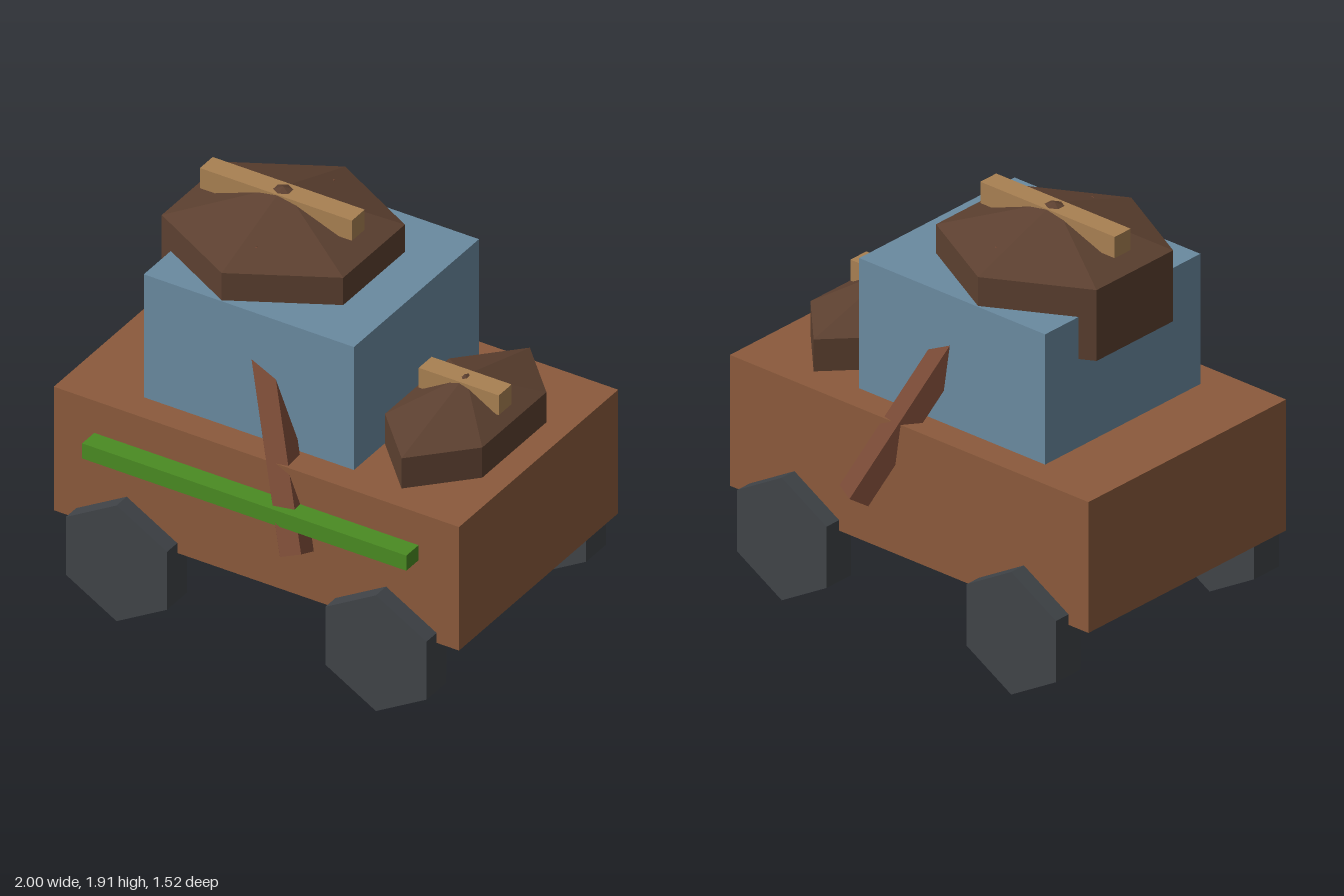
import * as THREE from 'three';

const COLORS = {
  body: 0x8b5a3c, cabin: 0x6a8aa0, dome: 0x5c4030, bar: 0xa88052,
  wheel: 0x404448, strut: 0x7a4a36, rail: 0x4a8b22,
};

export function createModel() {
  const model = new THREE.Group();
  model.name = 'vehicle';

  function add(name, geometry, color, x, y, z) {
    const material = new THREE.MeshStandardMaterial({ color, flatShading: true });
    const mesh = new THREE.Mesh(geometry, material);
    mesh.name = name;
    mesh.position.set(x, y, z);
    model.add(mesh);
    return mesh;
  }

  // Box given by its low and high corners
  function addBox(name, color, [x0, y0, z0], [x1, y1, z1]) {
    return add(name, new THREE.BoxGeometry(x1 - x0, y1 - y0, z1 - z0), color,
      (x0 + x1) / 2, (y0 + y1) / 2, (z0 + z1) / 2);
  }

  // Squashed six-sided dome with points towards front and back
  function addDome(name, x, y, rx, ry, rz) {
    const geometry = new THREE.SphereGeometry(1, 6, 3);
    geometry.rotateY(Math.PI / 6);
    geometry.scale(rx, ry, rz);
    return add(name, geometry, COLORS.dome, x, y, 0);
  }

  // Hull and cabin
  addBox('body', COLORS.body, [-1, 0.385, -0.62], [1, 1, 0.62]);
  addBox('cabin', COLORS.cabin, [-0.64, 1, -0.487], [0.397, 1.612, 0.487]);

  // Domes with their cross bars
  addDome('roofDome', -0.26, 1.581, 0.597, 0.333, 0.555);
  addBox('roofBar', COLORS.bar, [-0.64, 1.8, -0.05], [0.11, 1.9, 0.05]);
  addDome('hoodDome', 0.64, 1.01, 0.32, 0.28, 0.577);
  addBox('hoodBar', COLORS.bar, [0.44, 1.185, -0.05], [0.835, 1.283, 0.05]);

  // Side rail, on the front face only
  addBox('sideRail', COLORS.rail, [-0.8, 0.765, 0.6], [0.8, 0.84, 0.715]);

  for (const side of [1, -1]) {
    // Six-sided wheels
    for (const x of [-0.64, 0.64]) {
      const wheel = new THREE.CylinderGeometry(0.288, 0.288, 0.155, 6);
      wheel.rotateX(Math.PI / 2);
      add('wheel', wheel, COLORS.wheel, x, 0.29, side * 0.622);
    }

    // Five-sided strut leaning inwards from the hull side up through the cabin
    const foot = new THREE.Vector3(0.235, 0.637, side * 0.69);
    const head = new THREE.Vector3(-0.255, 1.762, side * 0.262);
    const axis = head.clone().sub(foot);
    const length = axis.length();
    axis.normalize();
    const corner = new THREE.Vector3(0.055, 0.04, side * 0.04);
    corner.addScaledVector(axis, -corner.dot(axis)).normalize();
    const across = new THREE.Vector3().crossVectors(axis, corner);
    const middle = foot.clone().add(head).multiplyScalar(0.5);
    const strut = add('strut', new THREE.CylinderGeometry(0.079, 0.079, length, 5),
      COLORS.strut, middle.x, middle.y, middle.z);
    strut.quaternion.setFromRotationMatrix(
      new THREE.Matrix4().makeBasis(across, axis, corner));
  }

  return model;
}
